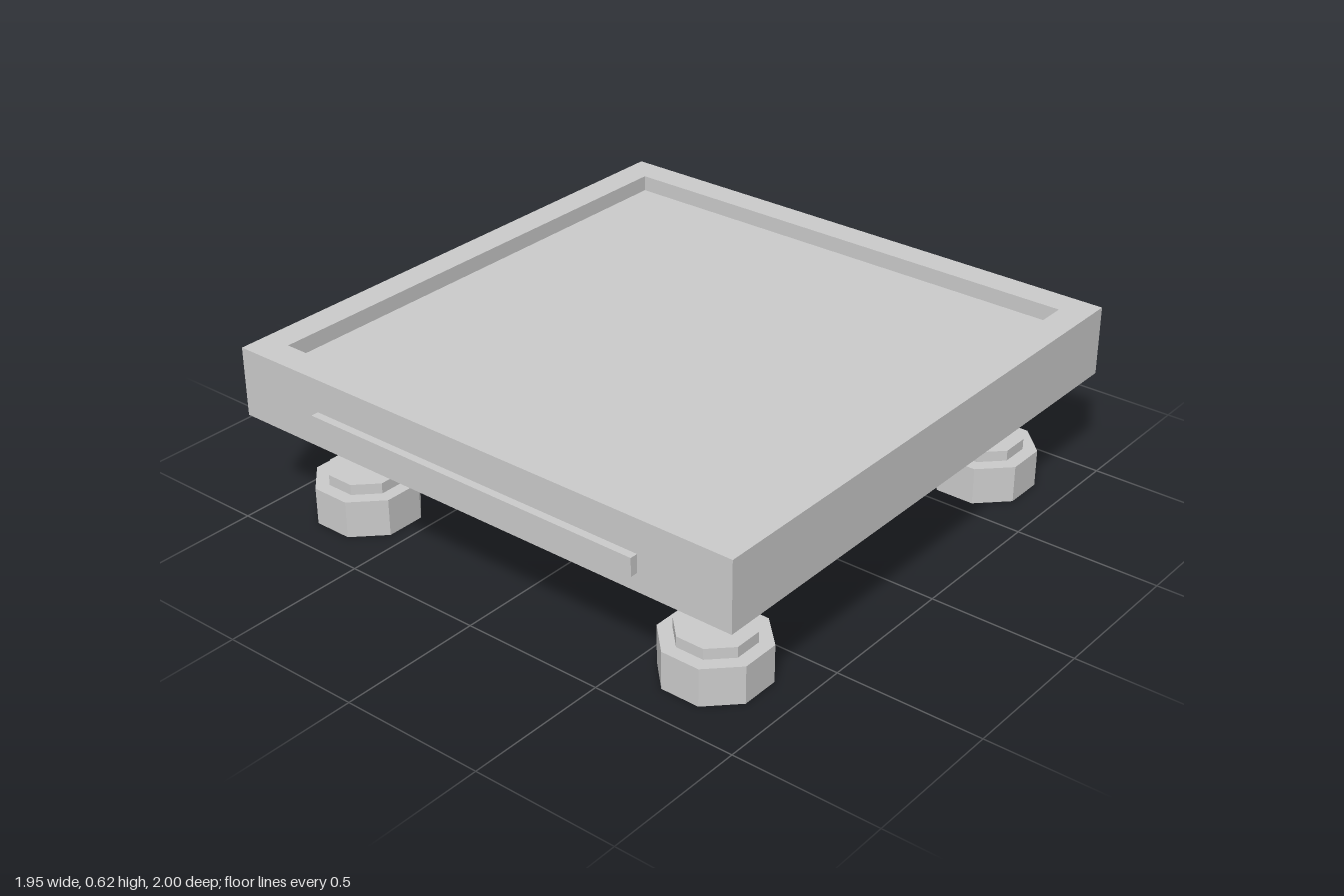
import * as THREE from 'three';

export function createModel() {
  const model = new THREE.Group();
  const grey = new THREE.MeshStandardMaterial({ color: 0xcccccc });
  grey.name = 'plain grey';

  const HALF = 0.973, INNER = 0.872;   // tray half-widths
  const BOTTOM = 0.375, FLOOR = 0.56, TOP = 0.615;

  function add(parent, name, geometry, x, y, z) {
    const mesh = new THREE.Mesh(geometry, grey);
    mesh.name = name;
    mesh.position.set(x, y, z);
    parent.add(mesh);
    return mesh;
  }

  function box(name, width, y0, y1, depth, z = 0) {
    return add(model, name, new THREE.BoxGeometry(width, y1 - y0, depth), 0, (y0 + y1) / 2, z);
  }

  function square(path, h) {
    return path.moveTo(-h, -h).lineTo(h, -h).lineTo(h, h).lineTo(-h, h).closePath();
  }

  // Tray: a square frame around a recessed slab
  const outline = square(new THREE.Shape(), HALF);
  outline.holes.push(square(new THREE.Path(), INNER));
  const frame = new THREE.ExtrudeGeometry(outline, { depth: TOP - BOTTOM, bevelEnabled: false });
  frame.rotateX(-Math.PI / 2);
  add(model, 'trayFrame', frame, 0, BOTTOM, 0);
  box('trayFloor', INNER * 2, BOTTOM, FLOOR, INNER * 2);

  // Plate under the tray
  box('underPlate', 1.64, 0.337, BOTTOM, 1.64);

  // Bars on the front and back faces
  for (const side of [1, -1]) {
    box(side > 0 ? 'frontBar' : 'backBar', 1.28, 0.438, 0.5, 1 - HALF, side * (1 + HALF) / 2);
  }

  // Octagonal stepped feet, flats facing the axes
  function octagon(flat, height) {
    const r = flat / Math.cos(Math.PI / 8);
    return new THREE.CylinderGeometry(r, r, height, 8).rotateY(Math.PI / 8).toNonIndexed();
  }
  const wheel = octagon(0.165, 0.13), cap = octagon(0.12, 0.037);
  wheel.computeVertexNormals();
  cap.computeVertexNormals();
  for (const x of [-0.72, 0.72]) {
    for (const z of [-0.72, 0.72]) {
      const foot = new THREE.Group();
      foot.name = (z > 0 ? 'front' : 'back') + (x > 0 ? 'Left' : 'Right') + 'Foot';
      foot.position.set(x, 0, z);
      add(foot, 'footBase', wheel, 0, 0.065, 0);
      add(foot, 'footCap', cap, 0, 0.1485, 0);
      model.add(foot);
    }
  }
  return model;
}
